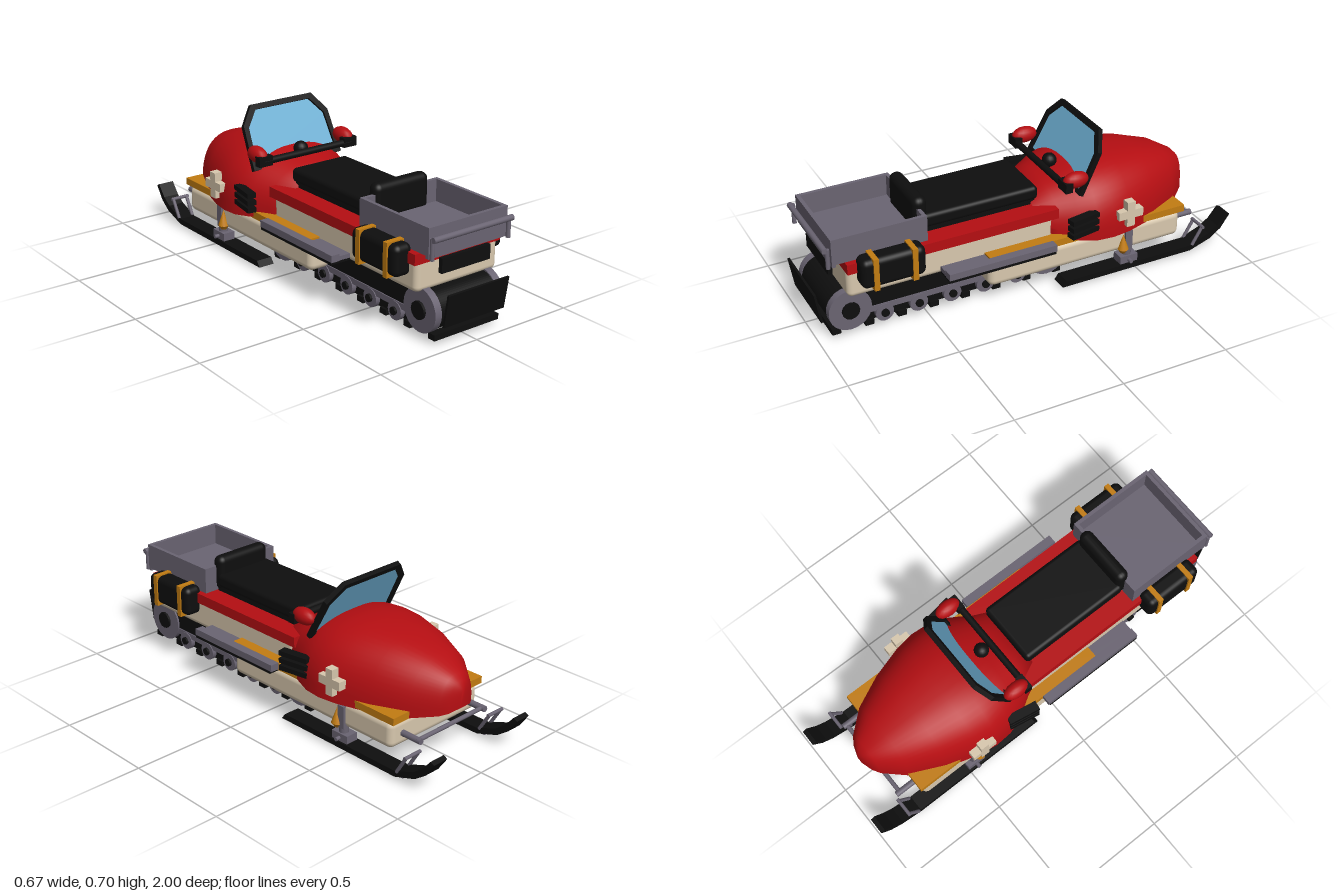
import * as THREE from 'three';
import { RoundedBoxGeometry } from 'three/addons/geometries/RoundedBoxGeometry.js';

const mat = (name, color) => {
  const m = new THREE.MeshStandardMaterial({ color });
  m.name = name;
  return m;
};

export function createModel() {
  const red = mat('red paint', 0xb50e12), cream = mat('cream paint', 0xd8c8ae);
  const grey = mat('grey metal', 0x6a6472), black = mat('black rubber', 0x0e0e0e);
  const orange = mat('orange trim', 0xc27c12), blue = mat('blue glass', 0x70b2d6);
  blue.side = THREE.DoubleSide;
  const root = new THREE.Group();
  root.name = 'snowmobile';

  const add = (name, geo, m, x = 0, y = 0, z = 0) => {
    const mesh = new THREE.Mesh(geo, m);
    mesh.name = name;
    mesh.position.set(x, y, z);
    root.add(mesh);
    return mesh;
  };
  // Box from its extents, rounded when r is given
  const box = (name, m, [x0, x1], [y0, y1], [z0, z1], r = 0) => {
    const s = [x1 - x0, y1 - y0, z1 - z0];
    const geo = r ? new RoundedBoxGeometry(...s, 4, r) : new THREE.BoxGeometry(...s);
    return add(name, geo, m, (x0 + x1) / 2, (y0 + y1) / 2, (z0 + z1) / 2);
  };
  // Box on one side of the model, s = 1 or -1
  const sideBox = (s, name, m, [x0, x1], ys, zs, r) =>
    box(name, m, s > 0 ? [x0, x1] : [-x1, -x0], ys, zs, r);
  // Round bar between two points
  const rod = (name, m, a, b, r, sides = 12) => {
    const p = new THREE.Vector3(...a), q = new THREE.Vector3(...b), d = q.clone().sub(p);
    const mesh = add(name, new THREE.CylinderGeometry(r, r, d.length(), sides), m);
    mesh.position.copy(p).add(q).multiplyScalar(0.5);
    mesh.quaternion.setFromUnitVectors(new THREE.Vector3(0, 1, 0), d.normalize());
    return mesh;
  };
  const polygon = (pts) => new THREE.Shape(pts.map((p) => new THREE.Vector2(...p)));
  // Side outline of (z, y) points, extruded across x
  const sideExtrude = (shape, width) => {
    const geo = new THREE.ExtrudeGeometry(shape, { depth: width, bevelEnabled: false, curveSegments: 16 });
    return geo.translate(0, 0, -width / 2).rotateY(-Math.PI / 2);
  };

  // Main bodywork
  box('lowerHull', cream, [-0.27, 0.27], [0.1, 0.225], [-0.74, 0.24], 0.03);
  box('rearBody', cream, [-0.22, 0.22], [0.212, 0.36], [-0.1, 0.873], 0.025);
  box('redDeck', red, [-0.23, 0.23], [0.337, 0.385], [-0.12, 0.873]);
  box('floorPlate', orange, [-0.275, 0.275], [0.225, 0.258], [-0.755, 0.24]);
  box('rearPanel', black, [-0.13, 0.13], [0.295, 0.36], [0.903, 0.923]);

  // Hood lofted from stations: z, half width, bottom, top
  const stations = [
    [-0.885, 0.015, 0.262, 0.345], [-0.868, 0.065, 0.248, 0.375], [-0.845, 0.1, 0.24, 0.4],
    [-0.75, 0.185, 0.225, 0.455], [-0.6, 0.256, 0.22, 0.498], [-0.45, 0.302, 0.22, 0.518],
    [-0.36, 0.315, 0.22, 0.518], [-0.28, 0.31, 0.222, 0.51], [-0.2, 0.285, 0.23, 0.485],
    [-0.12, 0.235, 0.24, 0.455], [-0.03, 0.19, 0.3, 0.42],
  ];
  const arc = 28, ring = arc + 3, pos = [], idx = [];
  for (const [z, w, y0, y1] of stations) {
    for (let i = 0; i < ring; i++) {
      const a = i <= arc ? (i / arc) * Math.PI : i === arc + 1 ? Math.PI : 0;
      const c = Math.cos(a), s = Math.max(0, Math.sin(a));
      pos.push(Math.sign(c) * w * Math.abs(c) ** 0.8, y0 + (y1 - y0) * s ** 0.8, z);
    }
  }
  for (let k = 0; k < stations.length - 1; k++) {
    for (let i = 0; i < ring - 1; i++) {
      if (i === arc) continue;
      const a = k * ring + i, c = a + ring;
      idx.push(a, a + 1, c, a + 1, c + 1, c);
    }
  }
  const last = (stations.length - 1) * ring;
  for (let i = 1; i < arc; i++) idx.push(0, i + 1, i, last, last + i, last + i + 1);
  const hood = new THREE.BufferGeometry();
  hood.setAttribute('position', new THREE.Float32BufferAttribute(pos, 3));
  hood.setIndex(idx);
  hood.computeVertexNormals();
  add('hood', hood, red);

  // Windshield, built upright and tilted forward
  const outer = [[-0.245, 0], [0.245, 0], [0.235, 0.208], [0.168, 0.297], [-0.168, 0.297], [-0.235, 0.208]];
  const inner = [[-0.222, 0.02], [0.222, 0.02], [0.211, 0.195], [0.15, 0.272], [-0.15, 0.272], [-0.211, 0.195]];
  const frameShape = polygon(outer);
  frameShape.holes.push(new THREE.Path(inner.map((p) => new THREE.Vector2(...p))));
  const frame = new THREE.ExtrudeGeometry(frameShape, { depth: 0.022, bevelEnabled: false }).translate(0, 0, -0.011);
  add('windshieldFrame', frame, black, 0, 0.43, -0.222).rotation.x = -0.47;
  add('windshieldGlass', new THREE.ShapeGeometry(polygon(inner)), blue, 0, 0.43, -0.222).rotation.x = -0.47;

  // Seat and backrest
  box('seatBase', black, [-0.135, 0.135], [0.38, 0.43], [-0.05, 0.5]);
  box('seatCushion', black, [-0.152, 0.152], [0.41, 0.475], [-0.06, 0.49], 0.02);
  box('backrest', black, [-0.145, 0.145], [0.39, 0.555], [0.465, 0.53], 0.03);

  // Cargo tray with rear rail
  box('trayFloor', grey, [-0.21, 0.21], [0.39, 0.41], [0.5, 0.93]);
  box('trayFrontWall', grey, [-0.21, 0.21], [0.39, 0.51], [0.5, 0.517]);
  box('trayRearWall', grey, [-0.21, 0.21], [0.378, 0.51], [0.913, 0.93]);
  rod('rearRail', grey, [-0.212, 0.467, 0.957], [0.212, 0.467, 0.957], 0.013);
  rod('handlebar', black, [-0.245, 0.497, -0.145], [0.245, 0.497, -0.145], 0.016);
  add('handlebarHub', new THREE.SphereGeometry(0.034, 16, 12), black, 0, 0.5, -0.195);

  // Track belt with a row of lugs
  const belt = new THREE.Shape();
  belt.absarc(0.86, 0.13, 0.09, -Math.PI / 2, Math.PI / 2, false);
  belt.absarc(-0.09, 0.13, 0.09, Math.PI / 2, Math.PI * 1.5, false);
  add('trackBelt', sideExtrude(belt, 0.324), black);
  box('trackTunnel', black, [-0.175, 0.175], [0.11, 0.222], [-0.05, 0.8]);
  for (let i = 0; i < 8; i++) {
    const z = 0.92 - i * 0.152;
    box('trackLug', black, [-0.175, 0.175], [0.02, 0.046], [z - 0.02, z + 0.02]);
  }
  const flap = box('mudFlap', black, [-0.163, 0.163], [0.09, 0.237], [0.983, 0.993]);
  flap.rotation.x = 0.16;

  // Front bumper
  rod('bumperBar', grey, [-0.21, 0.16, -0.825], [0.21, 0.16, -0.825], 0.01);

  for (const s of [1, -1]) {
    // Tray side, rail post and running board
    sideBox(s, 'traySideWall', grey, [0.193, 0.21], [0.395, 0.51], [0.5, 0.93]);
    rod('railPost', grey, [s * 0.204, 0.378, 0.945], [s * 0.204, 0.47, 0.945], 0.01);
    sideBox(s, 'runningBoard', grey, [0.2, 0.278], [0.228, 0.25], [-0.06, 0.45]);
    sideBox(s, 'runningBoardEdge', grey, [0.276, 0.318], [0.23, 0.262], [-0.067, 0.452]);
    sideBox(s, 'runningBoardUnderside', black, [0.22, 0.32], [0.22, 0.231], [-0.06, 0.45]);

    // Saddlebag with two straps
    sideBox(s, 'saddlebag', black, [0.2, 0.292], [0.278, 0.416], [0.54, 0.83], 0.028);
    for (const z of [0.595, 0.77])
      sideBox(s, 'bagStrap', orange, [0.205, 0.298], [0.27, 0.422], [z - 0.012, z + 0.012]);

    // Hand guards on the handlebar
    sideBox(s, 'handGrip', black, [0.2, 0.272], [0.477, 0.522], [-0.165, -0.13]);
    add('handGuard', new THREE.SphereGeometry(1, 16, 10), red, s * 0.24, 0.518, -0.195).scale.set(0.035, 0.038, 0.062);

    // Hood vents and side cross
    for (const y of [0.355, 0.32, 0.286])
      sideBox(s, 'hoodVent', black, [0.282, 0.324], [y - 0.011, y + 0.011], [-0.278, -0.132]).rotation.y = s * 0.17;
    sideBox(s, 'crossUpright', cream, [0.29, 0.328], [0.262, 0.385], [-0.455, -0.415]);
    sideBox(s, 'crossBar', cream, [0.29, 0.328], [0.303, 0.343], [-0.497, -0.373]);

    // Track wheels, hubs and rail
    const wheel = (z, y, r, r2) => {
      rod('trackWheel', grey, [s * 0.15, y, z], [s * 0.184, y, z], r, 24);
      rod('wheelHub', black, [s * 0.18, y, z], [s * 0.195, y, z], r2, 12);
    };
    wheel(0.855, 0.13, 0.098, 0.04);
    wheel(-0.09, 0.125, 0.095, 0.04);
    for (let i = 0; i < 5; i++) wheel(0.7 - i * 0.16, 0.07, 0.042, 0.018);
    sideBox(s, 'trackRail', grey, [0.155, 0.18], [0.088, 0.115], [-0.02, 0.8]);

    // Ski with upturned tip and keel
    const ski = polygon([[-0.11, 0.013], [-0.79, 0.013], [-0.9, 0.05], [-0.955, 0.09], [-1, 0.155],
      [-0.98, 0.165], [-0.935, 0.11], [-0.89, 0.078], [-0.79, 0.04], [-0.13, 0.04]]);
    add('ski', sideExtrude(ski, 0.078), black, s * 0.258);
    sideBox(s, 'skiKeel', grey, [0.249, 0.267], [0, 0.015], [-0.81, -0.14]);

    // Ski suspension
    sideBox(s, 'skiMount', grey, [0.228, 0.288], [0.04, 0.077], [-0.505, -0.415]);
    rod('skiPost', grey, [s * 0.26, 0.07, -0.46], [s * 0.26, 0.12, -0.46], 0.022);
    sideBox(s, 'skiStrut', grey, [0.245, 0.282], [0.1, 0.205], [-0.478, -0.442]);
    rod('mountPin', grey, [s * 0.21, 0.055, -0.46], [s * 0.31, 0.055, -0.46], 0.009);
    add('springCone', new THREE.ConeGeometry(0.026, 0.075, 12), orange, s * 0.275, 0.152, -0.433);
    add('springBase', new THREE.CylinderGeometry(0.026, 0.012, 0.02, 12), orange, s * 0.275, 0.105, -0.433);

    // Ski handle loop and bumper arm
    for (const x of [0.222, 0.296])
      rod('skiHandleSide', grey, [s * x, 0.04, -0.8], [s * x, 0.125, -0.85], 0.008);
    rod('skiHandleBar', grey, [s * 0.212, 0.125, -0.85], [s * 0.306, 0.125, -0.85], 0.008);
    rod('bumperArm', grey, [s * 0.2, 0.16, -0.72], [s * 0.2, 0.16, -0.843], 0.014);
  }
  return root;
}
